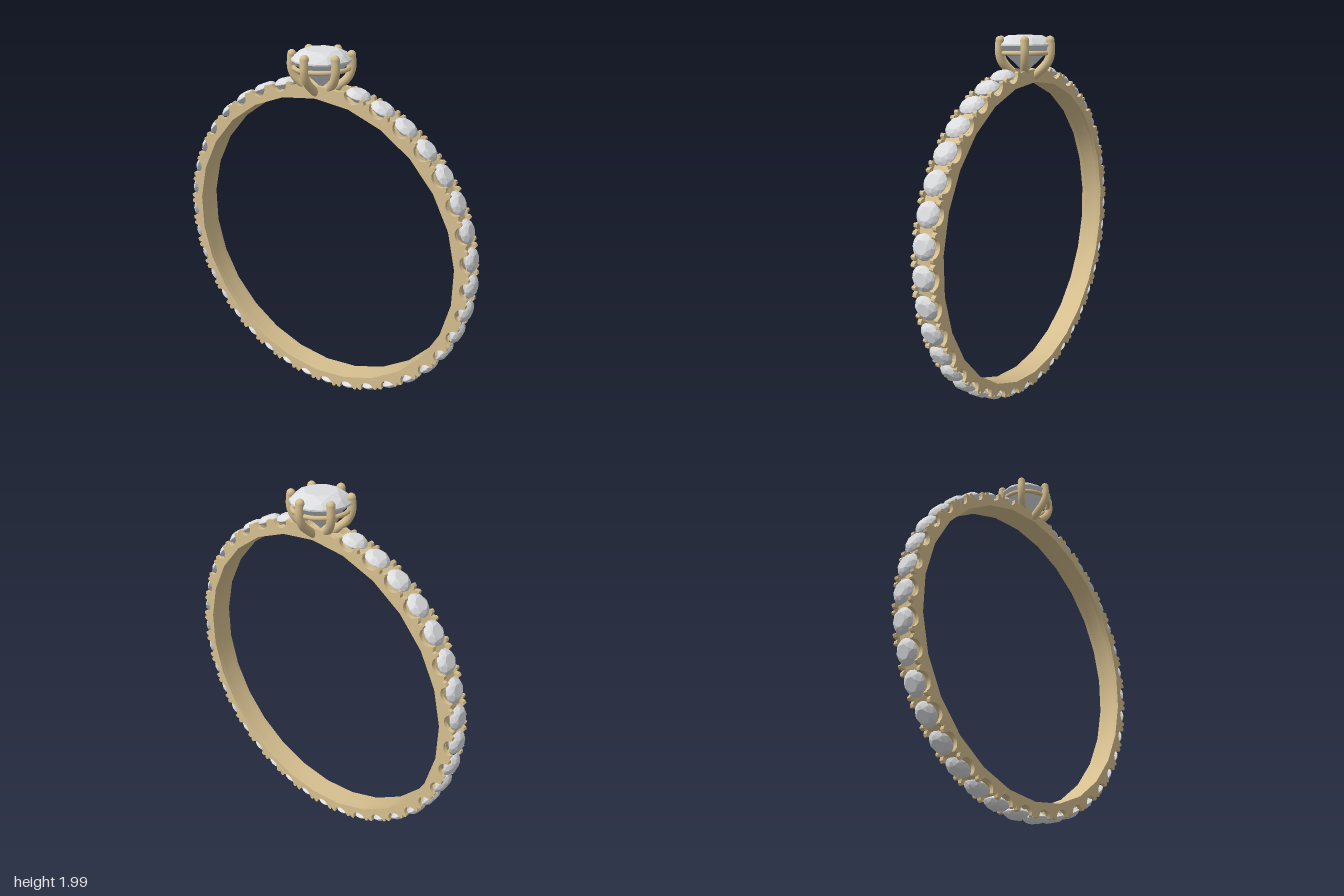
import * as THREE from 'three';
import { toCreasedNormals } from 'three/addons/utils/BufferGeometryUtils.js';
import { ConvexGeometry } from 'three/addons/geometries/ConvexGeometry.js';

const CY = 0.93;            // height of the band centre
const SLOTS = 38;           // stone positions round the band, two left free under the head
const STEP = (Math.PI * 2) / SLOTS;
const INNER = 0.832;

const gold = new THREE.MeshStandardMaterial({ color: 0xd6bf8f });
gold.name = 'gold';
const crystal = new THREE.MeshStandardMaterial({ color: 0xdcdddf });
crystal.name = 'crystal';

function add(parent, name, geometry, material) {
  const mesh = new THREE.Mesh(geometry, material);
  mesh.name = name;
  parent.add(mesh);
  return mesh;
}

// angle 0 is the bottom of the band, running counter-clockwise
const polar = (a, r) => new THREE.Vector2(Math.sin(a) * r, -Math.cos(a) * r);

function circle(r, n) {
  return Array.from({ length: n }, (_, i) => polar((i / n) * Math.PI * 2, r));
}

const hasStone = (i) => i !== SLOTS / 2 - 1 && i !== SLOTS / 2;

// side outline: a round scallop per stone, paired prongs and a notch between them
function scallopedOutline() {
  const pts = [];
  for (let i = 0; i < SLOTS; i++) {
    const mid = (i + 0.5) * STEP;
    const put = (t, r) => pts.push(polar(mid + t / 0.9, r));
    if (!hasStone(i)) {
      for (const t of [-0.07, -0.035, 0, 0.035]) put(t, 0.897);
      continue;
    }
    put(-0.0745, 0.889);
    put(-0.065, 0.905);
    put(-0.052, 0.909);
    for (let k = 0; k <= 8; k++) {
      const a = (k / 8) * Math.PI;
      put(-0.046 * Math.cos(a), 0.904 - 0.042 * Math.sin(a));
    }
    put(0.052, 0.909);
    put(0.065, 0.905);
  }
  return pts;
}

function bandSlice(outline, z0, z1) {
  const shape = new THREE.Shape(outline);
  shape.holes.push(new THREE.Path(circle(INNER, 26)));
  const geo = new THREE.ExtrudeGeometry(shape, { depth: z1 - z0, bevelEnabled: false });
  geo.translate(0, 0, z0);
  return toCreasedNormals(geo, 0.45);
}

// faceted round gem with its girdle at y = 0
function gemGeometry(radius, crown, pavilion, girdle) {
  const pts = [new THREE.Vector3(0, -pavilion, 0)];
  const ring = (n, r, y, turn) => {
    for (let i = 0; i < n; i++) {
      const a = ((i + turn) / n) * Math.PI * 2;
      pts.push(new THREE.Vector3(Math.cos(a) * r * radius, y, Math.sin(a) * r * radius));
    }
  };
  ring(8, 0.56, crown, 0.5);
  ring(8, 0.83, crown * 0.6, 0);
  ring(16, 1, 0, 0);
  ring(16, 1, -girdle, 0);
  return new ConvexGeometry(pts);
}

export function createModel() {
  const model = new THREE.Group();
  model.name = 'ring';

  // band: low core between two scalloped rails
  const band = new THREE.Group();
  band.name = 'band';
  band.position.y = CY;
  model.add(band);
  const outline = scallopedOutline();
  add(band, 'bandCore', bandSlice(circle(0.864, 76), -0.045, 0.045), gold);
  add(band, 'frontRail', bandSlice(outline, 0.043, 0.065), gold);
  add(band, 'backRail', bandSlice(outline, -0.065, -0.043), gold);

  // small stones, and cross bars between them
  const smallGem = gemGeometry(0.064, 0.024, 0.05, 0.004);
  const bar = new THREE.BoxGeometry(0.028, 0.05, 0.1);
  for (let i = 0; i < SLOTS; i++) {
    const place = (mesh, a, r) => {
      const p = polar(a, r);
      mesh.position.set(p.x, p.y, 0);
      mesh.rotation.z = a + Math.PI;
    };
    if (hasStone(i)) place(add(band, 'bandStone', smallGem, crystal), (i + 0.5) * STEP, 0.898);
    if (i !== SLOTS / 2) place(add(band, 'crossBar', bar, gold), i * STEP, 0.86);
  }

  // head: centre stone, gallery wire and six claws
  const head = new THREE.Group();
  head.name = 'head';
  model.add(head);
  add(head, 'centreStone', gemGeometry(0.155, 0.045, 0.15, 0.008), crystal).position.y = 1.955;
  const wire = add(head, 'galleryWire', new THREE.TorusGeometry(0.14, 0.012, 8, 36), gold);
  wire.rotation.x = Math.PI / 2;
  wire.position.y = 1.91;

  const path = new THREE.CatmullRomCurve3(
    [[0.15, 1.972], [0.153, 1.91], [0.135, 1.862], [0.085, 1.815], [0.045, 1.785]]
      .map(([r, y]) => new THREE.Vector3(0, y, r)));
  const stem = new THREE.TubeGeometry(path, 16, 0.022, 10);
  const tip = new THREE.SphereGeometry(0.023, 12, 8);
  const foot = new THREE.SphereGeometry(0.022, 10, 8);
  for (let i = 0; i < 6; i++) {
    const claw = new THREE.Group();
    claw.name = 'claw';
    claw.rotation.y = (i * Math.PI) / 3;
    add(claw, 'clawStem', stem, gold);
    add(claw, 'clawTip', tip, gold).position.set(0, 1.973, 0.149);
    add(claw, 'clawFoot', foot, gold).position.set(0, 1.785, 0.045);
    head.add(claw);
  }
  return model;
}
